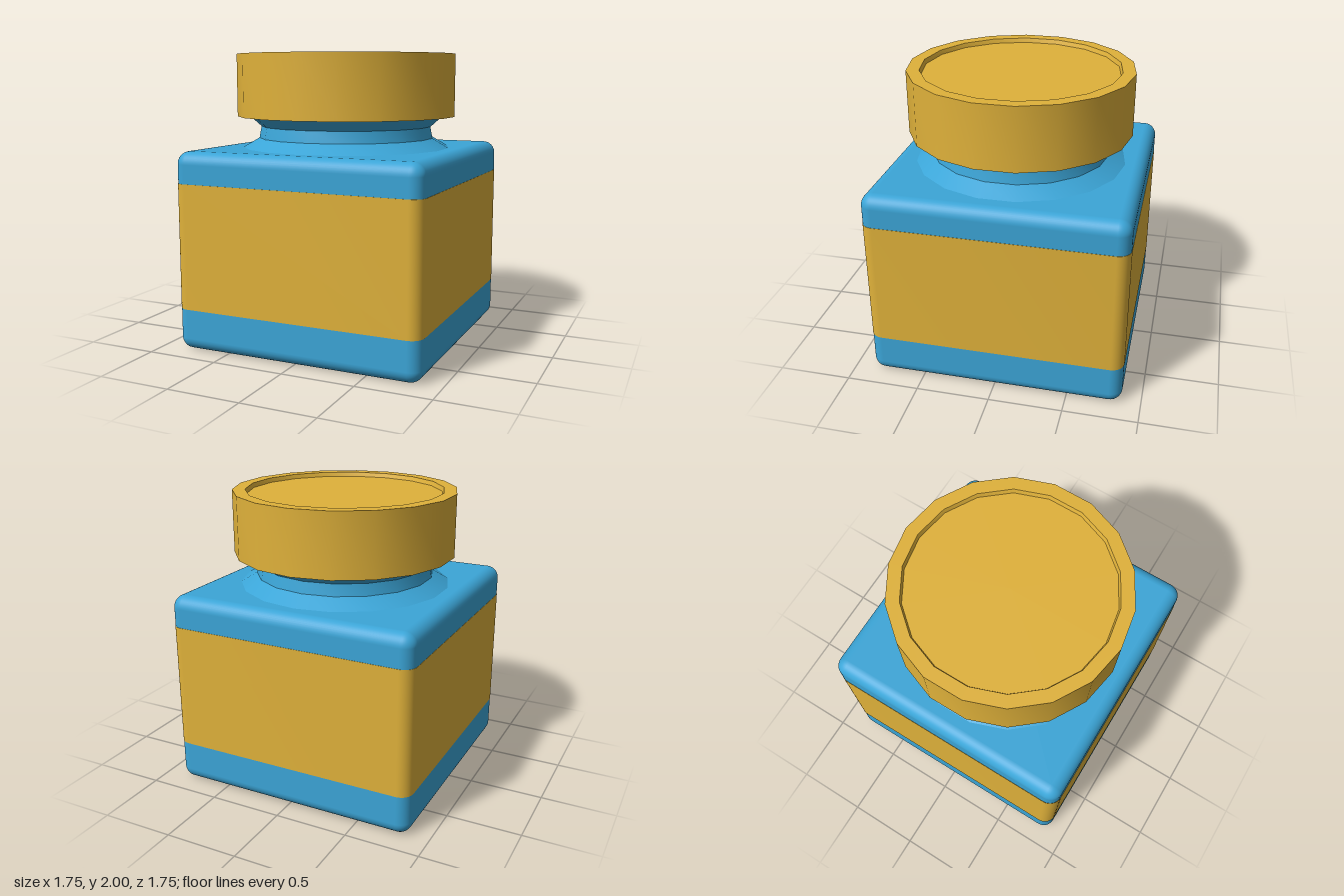
import * as THREE from 'three';
import { toCreasedNormals } from 'three/addons/utils/BufferGeometryUtils.js';
import { RoundedBoxGeometry } from 'three/addons/geometries/RoundedBoxGeometry.js';

const SIDES = 18;
const WIDTH = 1.742, BODY_TOP = 1.355, RADIUS = 0.085;

const blue = new THREE.MeshStandardMaterial({ color: 0x3ba5d7 });
blue.name = 'blue glass';
const gold = new THREE.MeshStandardMaterial({ color: 0xdfb13a });
gold.name = 'gold';

function addMesh(group, name, geometry, material) {
  const mesh = new THREE.Mesh(geometry, material);
  mesh.name = name;
  group.add(mesh);
  return mesh;
}

// Turned part: profile of [radius, height] pairs, listed from bottom to top on the outside
function turned(profile) {
  const points = profile.map(([r, y]) => new THREE.Vector2(r, y));
  return toCreasedNormals(new THREE.LatheGeometry(points, SIDES), 0.75);
}

function roundedSquare(size, r) {
  const h = size / 2, c = h - r;
  const s = new THREE.Shape();
  s.absarc(c, c, r, 0, Math.PI / 2);
  s.absarc(-c, c, r, Math.PI / 2, Math.PI);
  s.absarc(-c, -c, r, Math.PI, Math.PI * 1.5);
  s.absarc(c, -c, r, Math.PI * 1.5, Math.PI * 2);
  s.closePath();
  return s;
}

export function createModel() {
  const jar = new THREE.Group();
  jar.name = 'jar';

  // Square bottle with softened edges
  const body = addMesh(jar, 'body', new RoundedBoxGeometry(WIDTH, BODY_TOP, WIDTH, 5, RADIUS), blue);
  body.position.y = BODY_TOP / 2;

  // Label wrapped all the way round, barely proud of the bottle
  const band = new THREE.ExtrudeGeometry(roundedSquare(WIDTH + 0.004, RADIUS + 0.002), {
    depth: 0.855, bevelEnabled: false, curveSegments: 6,
  });
  band.rotateX(-Math.PI / 2);
  const label = addMesh(jar, 'label', toCreasedNormals(band, 0.6), gold);
  label.position.y = 0.286;

  // Pinched neck flaring up into the cap
  addMesh(jar, 'neck', turned([
    [0.735, 1.35], [0.615, 1.42], [0.6, 1.5], [0.68, 1.572],
  ]), blue);

  // Cap with a shallow recess in its top
  addMesh(jar, 'cap', turned([
    [0, 1.57], [0.765, 1.57], [0.765, 2], [0.677, 2], [0.667, 1.97], [0, 1.97],
  ]), gold);

  return jar;
}
